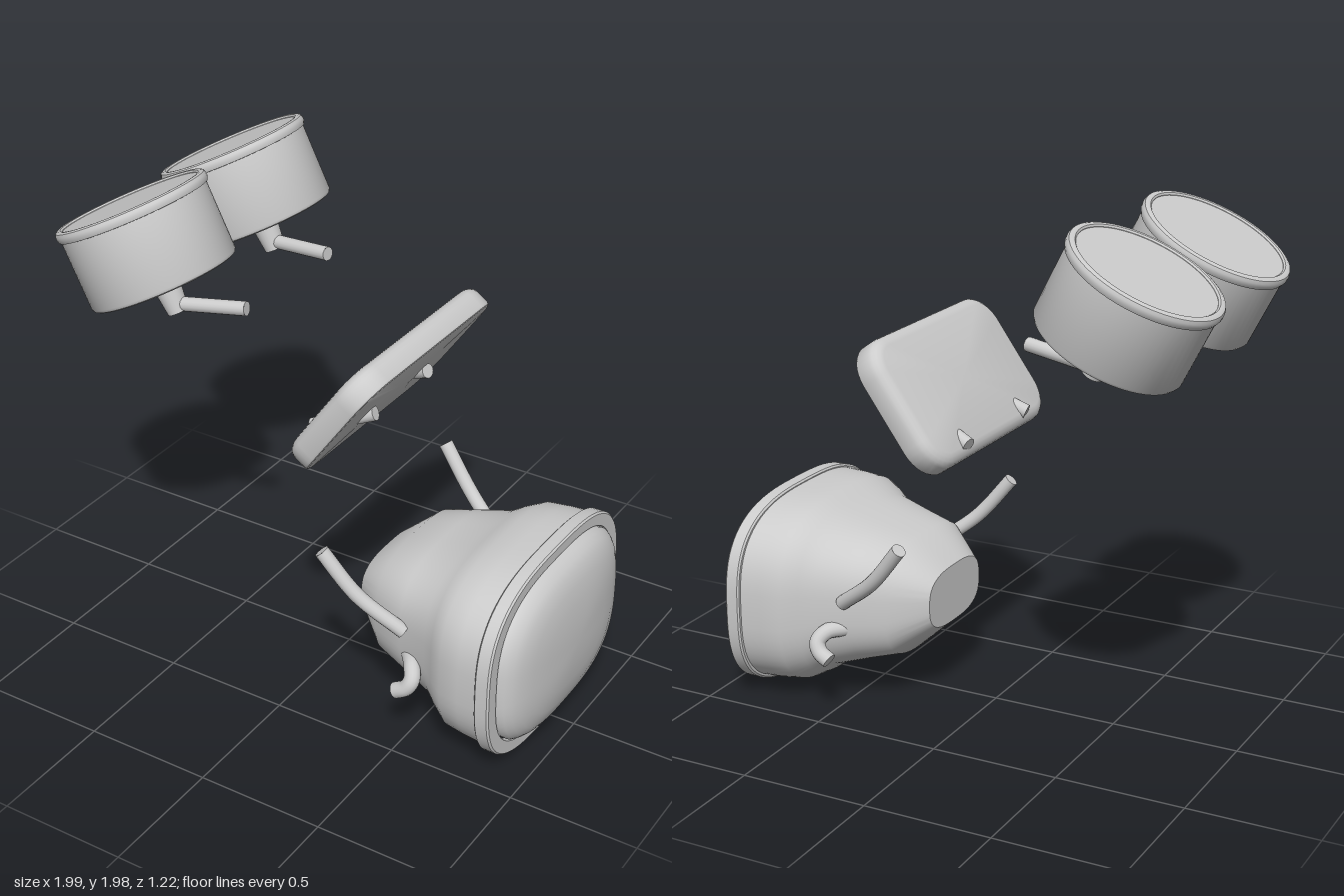
import * as THREE from 'three';
import { mergeGeometries, toCreasedNormals } from 'three/addons/utils/BufferGeometryUtils.js';

const grey = new THREE.MeshStandardMaterial({ color: 0xcccccc });
grey.name = 'light grey';

function add(parent, name, geometry) {
  const mesh = new THREE.Mesh(geometry, grey);
  mesh.name = name;
  parent.add(mesh);
  return mesh;
}

// Skin a list of rings (arrays of Vector3) running along +x
function loft(rings, crease = 0.5) {
  const pos = [];
  const tri = (a, b, c) => {
    if (a.distanceTo(b) > 1e-6 && b.distanceTo(c) > 1e-6 && c.distanceTo(a) > 1e-6) {
      pos.push(...a.toArray(), ...b.toArray(), ...c.toArray());
    }
  };
  for (let i = 0; i < rings.length - 1; i++) {
    const n = rings[i].length;
    for (let j = 0; j < n; j++) {
      const k = (j + 1) % n;
      tri(rings[i][j], rings[i][k], rings[i + 1][j]);
      tri(rings[i][k], rings[i + 1][k], rings[i + 1][j]);
    }
  }
  const geo = new THREE.BufferGeometry();
  geo.setAttribute('position', new THREE.Float32BufferAttribute(pos, 3));
  geo.computeVertexNormals();
  return toCreasedNormals(geo, crease);
}

// Soft rectangular ring: height 2*ry, width 2*rz
function softRing([x, cy, ry, rz], n = 2.9, count = 72) {
  const bend = v => Math.sign(v) * Math.pow(Math.abs(v), 2 / n);
  return Array.from({ length: count }, (_, i) => {
    const a = (i / count) * Math.PI * 2;
    return new THREE.Vector3(x, cy + ry * bend(Math.cos(a)), rz * bend(Math.sin(a)));
  });
}

// Rounded rectangle ring
function roundedRing(x, hy, hz, r) {
  const pts = [];
  for (let q = 0; q < 4; q++) {
    const sy = q === 0 || q === 3 ? 1 : -1;
    const sz = q < 2 ? 1 : -1;
    for (let s = 0; s <= 8; s++) {
      const a = (q + s / 8) * Math.PI / 2;
      pts.push(new THREE.Vector3(x, sy * (hy - r) + r * Math.cos(a), sz * (hz - r) + r * Math.sin(a)));
    }
  }
  return pts;
}

// Round bar along a path, closed with flat ends
function bar(points, radius) {
  const curve = new THREE.CatmullRomCurve3(points.map(p => new THREE.Vector3(...p)));
  const parts = [new THREE.TubeGeometry(curve, points.length > 2 ? 24 : 1, radius, 16)];
  for (const t of [0, 1]) {
    const dir = curve.getTangent(t).multiplyScalar(t ? 1 : -1);
    const cap = new THREE.CircleGeometry(radius, 16);
    cap.applyQuaternion(new THREE.Quaternion().setFromUnitVectors(new THREE.Vector3(0, 0, 1), dir));
    const p = curve.getPoint(t);
    parts.push(cap.translate(p.x, p.y, p.z));
  }
  return mergeGeometries(parts);
}

function lathe(profile) {
  const pts = profile.map(p => new THREE.Vector2(...p));
  return toCreasedNormals(new THREE.LatheGeometry(pts, 64), 0.6);
}

// Tilted round pod with rim, face, stem and rod
function createPod(side) {
  const pod = new THREE.Group();
  pod.name = side > 0 ? 'leftPod' : 'rightPod';
  const drum = new THREE.Group();
  drum.name = 'podDrum';
  drum.position.set(-0.591, 1.567, side * 0.315);
  drum.rotation.z = THREE.MathUtils.degToRad(27);
  add(drum, 'podBody', lathe([[0, 0], [0.268, 0], [0.278, 0.005], [0.284, 0.016], [0.284, 0.3]]));
  add(drum, 'podRim', lathe([[0.28, 0.278], [0.29, 0.28], [0.295, 0.292], [0.295, 0.305],
    [0.29, 0.316], [0.28, 0.321], [0.27, 0.32], [0.264, 0.314], [0.262, 0.3]]));
  add(drum, 'podFace', lathe([[0.264, 0.312], [0, 0.312]]));
  add(drum, 'podStem', new THREE.CylinderGeometry(0.055, 0.04, 0.13, 24).translate(0, -0.055, 0));
  pod.add(drum);
  add(pod, 'podRod', bar([[-0.55, 1.49, side * 0.315], [-0.265, 1.525, side * 0.268]], 0.027));
  return pod;
}

function createPlate() {
  const group = new THREE.Group();
  group.name = 'mountingPlate';
  // Rounded on the upper face, crisp on the lower one: [depth, inset]
  const rows = [[-0.053, 0.5], [-0.053, 0.043], [-0.049, 0.028], [-0.04, 0.014], [-0.028, 0.004],
    [-0.012, 0], [0.042, 0], [0.05, 0.004], [0.053, 0.012], [0.053, 0.5]];
  const rings = rows.map(([x, d]) => d > 0.4
    ? roundedRing(x, 0, 0, 0)
    : roundedRing(x, 0.268 - d, 0.457 - d, 0.13 - d));
  const slab = add(group, 'plateSlab', loft(rings));
  slab.position.set(0.176, 1.257, 0);
  slab.rotation.z = THREE.MathUtils.degToRad(-35.5);
  for (const s of [1, -1]) {
    add(group, 'platePin', bar([[-0.01, 1.105, s * 0.235], [0.228, 1.205, s * 0.185]], 0.028));
  }
  return group;
}

function createLamp() {
  const lamp = new THREE.Group();
  lamp.name = 'lamp';
  // Shell sections: [x, centre y, half height, half width]
  const shell = [[0.18, 0.415, 0, 0], [0.18, 0.415, 0.115, 0.2], [0.31, 0.41, 0.23, 0.31],
    [0.44, 0.405, 0.263, 0.355], [0.57, 0.4, 0.3, 0.4], [0.62, 0.396, 0.333, 0.437],
    [0.68, 0.392, 0.362, 0.478], [0.76, 0.39, 0.371, 0.488], [0.86, 0.389, 0.376, 0.496]];
  add(lamp, 'lampShell', loft(shell.map(s => softRing(s)), 0.6));

  const rim = [[0.84, 0.37, 0.49], [0.84, 0.38, 0.505], [0.846, 0.387, 0.511], [0.893, 0.387, 0.511],
    [0.9, 0.381, 0.505], [0.9, 0.342, 0.453], [0.885, 0.337, 0.448]];
  add(lamp, 'lampRim', loft(rim.map(([x, h, w]) => softRing([x, 0.388, h, w]))));

  // Domed lens: [x, scale]
  const lens = [[0.88, 1], [0.906, 1], [0.922, 0.975], [0.942, 0.925], [0.96, 0.85],
    [0.977, 0.7], [0.99, 0.5], [0.998, 0.25], [1, 0]];
  add(lamp, 'lampLens', loft(lens.map(([x, s]) => softRing([x, 0.39, 0.336 * s, 0.447 * s])), 0.8));

  for (const s of [1, -1]) {
    add(lamp, 'lampArm', bar([[0.165, 0.738, s * 0.45], [0.3, 0.575, s * 0.42],
      [0.465, 0.445, s * 0.365]], 0.028));
    add(lamp, 'lampHook', bar([[0.47, 0.33, s * 0.33], [0.52, 0.328, s * 0.395],
      [0.54, 0.295, s * 0.43], [0.523, 0.262, s * 0.442], [0.48, 0.235, s * 0.445]], 0.031));
  }
  return lamp;
}

export function createModel() {
  const model = new THREE.Group();
  model.name = 'lampAndPodAssembly';
  model.add(createPod(1), createPod(-1), createPlate(), createLamp());
  return model;
}
